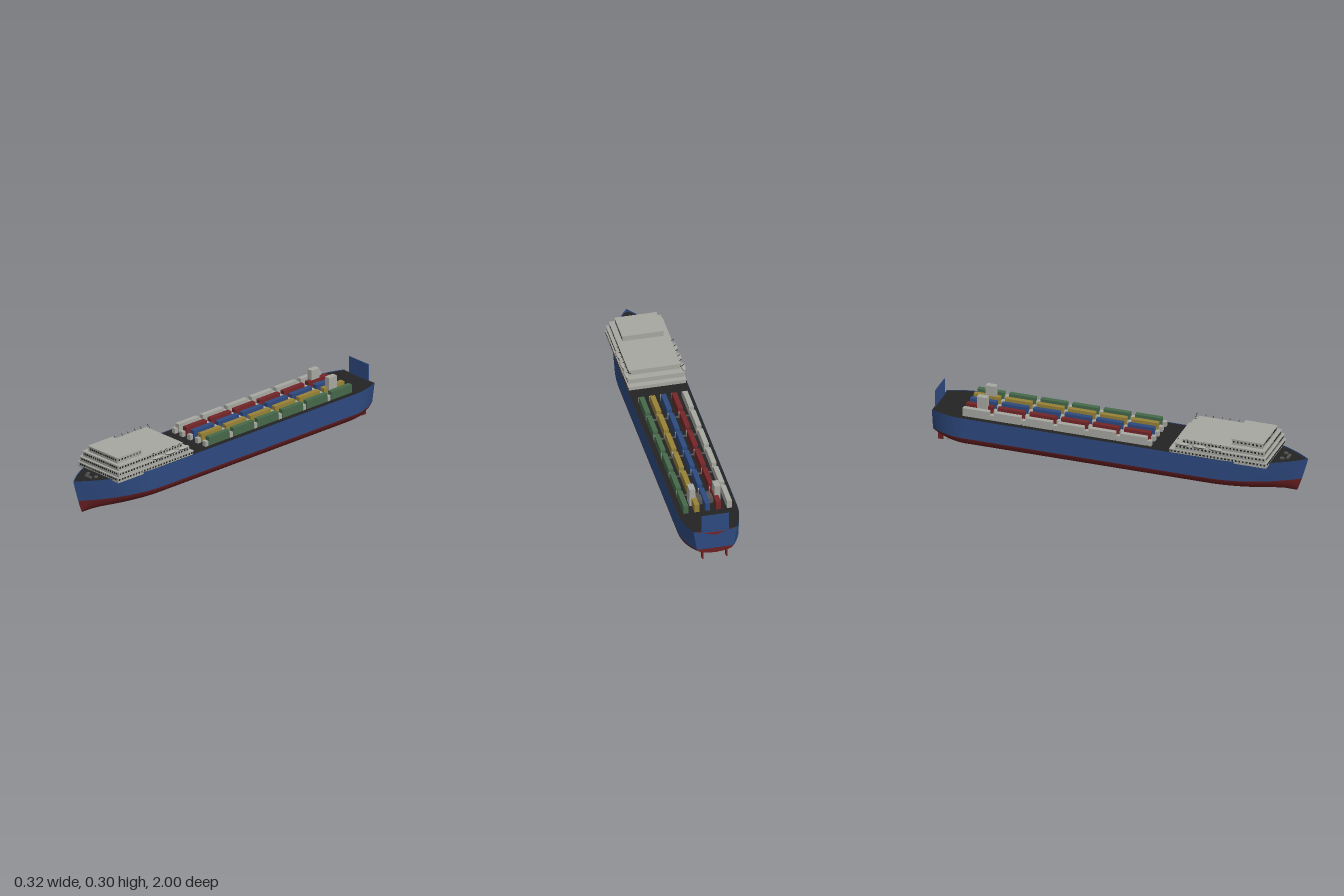
import * as THREE from 'three';
import { mergeGeometries } from 'three/addons/utils/BufferGeometryUtils.js';

const mat = (name, color, side = THREE.FrontSide) => {
  const m = new THREE.MeshStandardMaterial({ color, side });
  m.name = name;
  return m;
};
const { lerp, clamp } = THREE.MathUtils;

// Half midship section, keel to rail; the first six points are below the waterline
const SECTION = [[0, 0.004], [0.07, 0.014], [0.115, 0.024], [0.142, 0.042], [0.154, 0.06], [0.157, 0.073],
  [0.157, 0.11], [0.157, 0.15], [0.157, 0.187]];

// Point on the hull: fine raked bow ahead of z = 0.5, rising and narrowing stern
function hullPoint([x, y], z) {
  const h = y / 0.187;
  let py = y, pz = z, w = 1;
  if (z > 0.5) {
    const t = (z - 0.5) / 0.5;
    const stem = lerp(0.938, 1, Math.pow(h, 0.85));
    pz = lerp(0.5, stem, t);
    w = 1 - Math.pow(t, lerp(1.8, 2.6, h));
    if (h > 0.99) py += 0.005 * t * t;
  }
  const s = clamp((-0.82 - z) / 0.18, 0, 1) ** 2;
  w *= 1 - s * lerp(0.46, 0.27, h);
  py += s * 0.042 * Math.max(0, 1 - y / 0.073);
  return new THREE.Vector3(x * w, py, pz);
}

// Surface through a grid of points
function loft(rows) {
  const n = rows[0].length, index = [];
  for (let i = 0; i < rows.length - 1; i++)
    for (let j = 0; j < n - 1; j++) {
      const a = i * n + j, b = a + n;
      index.push(a, a + 1, b, b, a + 1, b + 1);
    }
  const g = new THREE.BufferGeometry().setFromPoints(rows.flat());
  g.setIndex(index);
  g.computeVertexNormals();
  return g;
}

const box = (w, h, d, x, y, z) => new THREE.BoxGeometry(w, h, d).translate(x, y, z);

export function createModel() {
  const ship = new THREE.Group();
  ship.name = 'cargoShip';
  const DS = THREE.DoubleSide;
  const blue = mat('hull blue', 0x2e4a80, DS);
  const red = mat('dark red', 0x6a2022, DS);
  const black = mat('deck black', 0x232323, DS);
  const grey = mat('light grey', 0xa8a8a2);
  const dark = mat('dark grey', 0x555553);
  const green = mat('container green', 0x46694a);
  const yellow = mat('container yellow', 0x988238);
  const crimson = mat('container red', 0x742629);
  const add = (name, geo, material, parent = ship) => {
    const m = new THREE.Mesh(Array.isArray(geo) ? mergeGeometries(geo) : geo, material);
    m.name = name;
    parent.add(m);
    return m;
  };

  // Hull shell
  const stations = [];
  for (let i = 0; i <= 8; i++) stations.push(-1 + i * 0.0225);
  for (let i = 1; i <= 6; i++) stations.push(-0.82 + i * 0.22);
  for (let i = 1; i <= 20; i++) stations.push(0.5 + i * 0.025);
  const mirror = p => p.map(([x, y]) => [-x, y]).reverse();
  const below = SECTION.slice(0, 6), above = SECTION.slice(5);
  const skin = pts => loft(stations.map(z => pts.map(p => hullPoint(p, z))));
  add('lowerHull', skin([...mirror(below), ...below.slice(1)]), red);
  add('leftTopsides', skin(above), blue);
  add('rightTopsides', skin(mirror(above)), blue);

  // Transom with a shallow notch in its top edge
  const flat = pts => new THREE.ShapeGeometry(new THREE.Shape(pts.map(p => {
    const v = hullPoint(p, -1);
    return new THREE.Vector2(v.x, v.y);
  }))).translate(0, 0, -1);
  add('lowerTransom', flat([...mirror(below), ...below.slice(1)]), red);
  add('upperTransom', flat([...mirror(above), ...above, [0, 0.152]]), blue);

  // Main deck, just under the rail
  const rail = SECTION[8];
  add('mainDeck', loft(stations.map(z => [1, -1].map(s => {
    const v = hullPoint(rail, z);
    return new THREE.Vector3(s * v.x * 0.99, 0.184, Math.min(v.z, 0.985));
  }))), black);

  add('sternPanel', box(0.144, 0.105, 0.004, 0, 0.223, -0.997), blue);

  // Propellers and rudders
  for (const s of [1, -1]) {
    const prop = new THREE.Group();
    prop.name = s > 0 ? 'leftPropeller' : 'rightPropeller';
    prop.position.set(s * 0.063, 0.019, -0.93);
    ship.add(prop);
    add('shaft', new THREE.CylinderGeometry(0.004, 0.004, 0.06, 8).rotateX(Math.PI / 2).translate(0, 0, 0.025), red, prop);
    const blades = [];
    for (let i = 0; i < 4; i++)
      blades.push(box(0.007, 0.013, 0.002, 0, 0.0085, 0).rotateY(0.4).rotateZ(i * Math.PI / 2));
    add('blades', blades, yellow, prop);
    add('rudder', box(0.006, 0.055, 0.03, s * 0.063, 0.0275, -0.97), red);
  }

  // Container rows with small lashing blocks between the stacks
  const colours = [grey, crimson, blue, yellow, green];
  const names = ['grey', 'red', 'blue', 'yellow', 'green'];
  const blocks = [], bars = [];
  colours.forEach((c, i) => {
    const x = (i - 2) * 0.057, stack = [];
    for (let k = 0; k < 6; k++) {
      const z = 0.097 - k * 0.171;
      stack.push(box(0.026, 0.045, 0.143, x, 0.2085, z));
      blocks.push(box(0.024, 0.028, 0.02, x, 0.199, z + 0.086));
    }
    add(names[i] + 'Containers', stack, c);
  });
  for (let k = 1; k < 6; k++) bars.push(box(0.25, 0.006, 0.008, 0, 0.188, 0.183 - k * 0.171));
  add('lashingBlocks', blocks, grey);
  add('lashingBars', bars, dark);

  // Stern vents and their cross duct
  add('sternVents', [1, -1].map(s => box(0.032, 0.1, 0.055, s * 0.066, 0.235, -0.74)), grey);
  add('crossDuct', box(0.11, 0.03, 0.05, 0, 0.2, -0.74), dark);

  // Deckhouse tiers: half width, bottom, top, aft z, front z, front windows
  const tiers = [
    [0.15, 0.177, 0.205, 0.302, 0.825, 18],
    [0.147, 0.205, 0.233, 0.33, 0.818, 18],
    [0.134, 0.233, 0.263, 0.365, 0.808, 16],
    [0.108, 0.263, 0.295, 0.625, 0.792, 14],
  ];
  const windows = [];
  tiers.forEach(([w, y0, y1, z0, z1, n], i) => {
    const y = y0 + 0.017, d = z1 - z0;
    const tier = new THREE.Group();
    tier.name = 'deckhouseTier' + (i + 1);
    ship.add(tier);
    add('walls', box(w * 2, y1 - y0, d, 0, (y0 + y1) / 2, (z0 + z1) / 2), grey, tier);
    add('roofEdge', box(w * 2 + 0.006, 0.003, d + 0.006, 0, y1 - 0.001, (z0 + z1) / 2), grey, tier);
    for (let k = 0; k < n; k++)
      windows.push(box(0.009, 0.009, 0.002, (k - (n - 1) / 2) * (w * 1.86 / n), y, z1));
    const m = Math.floor(d / 0.019);
    for (let k = 0; k < m; k++)
      for (const s of [1, -1])
        windows.push(box(0.002, 0.009, 0.009, s * w, y, z0 + (k + 0.5) * d / m));
  });
  add('windows', windows, black);

  // Lifeboats under davits, three on each side
  for (const s of [1, -1])
    for (const z of [0.37, 0.46, 0.55]) {
      const boat = new THREE.Group();
      boat.name = s > 0 ? 'leftLifeboat' : 'rightLifeboat';
      boat.position.set(s * 0.15, 0.241, z);
      ship.add(boat);
      const half = start => new THREE.SphereGeometry(1, 16, 6, 0, Math.PI * 2, start, Math.PI / 2).scale(0.012, 0.009, 0.037);
      add('canopy', half(0), grey, boat);
      add('boatHull', half(Math.PI / 2), dark, boat);
      add('davits', [-0.025, 0.025].map(dz => new THREE.CylinderGeometry(0.0015, 0.0015, 0.024, 6)
        .rotateZ(-s * 1.0).translate(-s * 0.01, 0.023, dz)), black, boat);
    }

  // Foredeck windlass
  add('windlass', [box(0.045, 0.008, 0.012, 0, 0.188, 0.895),
    box(0.012, 0.01, 0.02, 0.03, 0.188, 0.87), box(0.012, 0.01, 0.02, -0.03, 0.188, 0.87)], dark);

  return ship;
}
